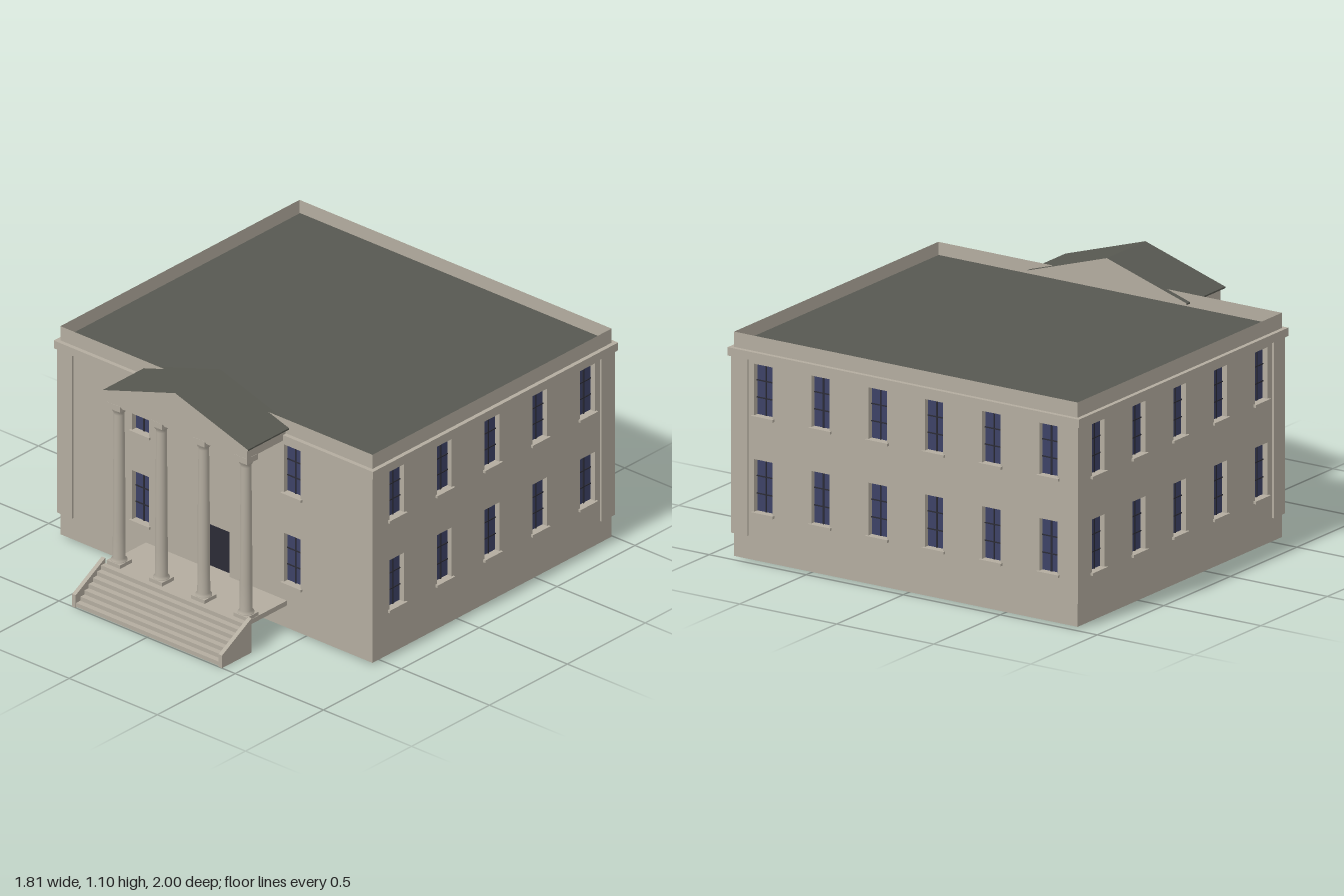
import * as THREE from 'three';

const mat = (name, color, side = THREE.FrontSide) => {
  const m = new THREE.MeshStandardMaterial({ color, side });
  m.name = name;
  return m;
};

export function createModel() {
  const model = new THREE.Group();
  model.name = 'courthouse';
  const stone = mat('stone', 0xb3ac9f, THREE.DoubleSide);
  const slate = mat('slateRoof', 0x575851, THREE.DoubleSide);
  const glass = mat('windowGlass', 0x3d4266, THREE.DoubleSide);
  const dark = mat('darkFrame', 0x2b2b36, THREE.DoubleSide);

  const add = (parent, name, geo, material, x = 0, y = 0, z = 0) => {
    const m = new THREE.Mesh(geo, material);
    m.name = name;
    m.position.set(x, y, z);
    parent.add(m);
    return m;
  };
  // Box given by its minimum and maximum corners
  const box = (parent, name, x0, x1, y0, y1, z0, z1, material = stone) =>
    add(parent, name, new THREE.BoxGeometry(x1 - x0, y1 - y0, z1 - z0), material,
      (x0 + x1) / 2, (y0 + y1) / 2, (z0 + z1) / 2);
  const rectPath = (P, x0, x1, y0, y1) => {
    const p = new P();
    p.moveTo(x0, y0).lineTo(x1, y0).lineTo(x1, y1).lineTo(x0, y1).closePath();
    return p;
  };
  const poly = pts => new THREE.Shape(pts.map(p => new THREE.Vector2(...p)));

  const X = 0.885, ZB = -0.98, ZF = 0.555, ZC = (ZB + ZF) / 2, HZ = (ZF - ZB) / 2;
  const DEPTH = 0.025;

  // Four thin sides of a recess behind the wall face
  function reveal(parent, name, x0, x1, y0, y1) {
    const w = x1 - x0, h = y1 - y0, cx = (x0 + x1) / 2, cy = (y0 + y1) / 2;
    for (const s of [-1, 1]) {
      add(parent, name, new THREE.PlaneGeometry(DEPTH, h), stone, cx + s * w / 2, cy, -DEPTH / 2).rotation.y = -s * Math.PI / 2;
      add(parent, name, new THREE.PlaneGeometry(w, DEPTH), stone, cx, cy + s * h / 2, -DEPTH / 2).rotation.x = s * Math.PI / 2;
    }
  }

  function windowUnit(parent, cx, y0, y1) {
    const g = new THREE.Group();
    g.name = 'window';
    parent.add(g);
    const w = 0.0475, h = y1 - y0;
    reveal(g, 'windowReveal', cx - w, cx + w, y0, y1);
    add(g, 'windowPane', new THREE.PlaneGeometry(2 * w, h), glass, cx, (y0 + y1) / 2, -DEPTH);
    box(g, 'mullion', cx - 0.003, cx + 0.003, y0, y1, -DEPTH + 0.001, -DEPTH + 0.005, dark);
    for (const t of [1 / 3, 2 / 3])
      box(g, 'glazingBar', cx - w, cx + w, y0 + h * t - 0.0025, y0 + h * t + 0.0025, -DEPTH + 0.001, -DEPTH + 0.005, dark);
    box(g, 'windowSill', cx - 0.057, cx + 0.057, y0 - 0.012, y0, -0.005, 0.012);
  }

  // One side of the shell, seen along its own +z
  function wall(name, half, columns, vents, door) {
    const g = new THREE.Group();
    g.name = name;
    model.add(g);
    const shape = rectPath(THREE.Shape, -half, half, 0.01, 1.01);
    for (const cx of columns)
      for (const [y0, y1] of [[0.225, 0.46], [0.655, 0.885]]) {
        shape.holes.push(rectPath(THREE.Path, cx - 0.0475, cx + 0.0475, y0, y1));
        windowUnit(g, cx, y0, y1);
      }
    if (door) {
      shape.holes.push(rectPath(THREE.Path, -0.075, 0.075, 0.14, 0.355));
      reveal(g, 'doorReveal', -0.075, 0.075, 0.14, 0.355);
      add(g, 'door', new THREE.PlaneGeometry(0.15, 0.215), dark, 0, 0.2475, -DEPTH);
    }
    add(g, 'wallFace', new THREE.ShapeGeometry(shape), stone);
    // Small cellar recesses on the inner side
    for (const cx of vents) {
      reveal(g, 'cellarRecess', cx - 0.045, cx + 0.045, 0.03, 0.08);
      add(g, 'cellarPane', new THREE.PlaneGeometry(0.09, 0.05), dark, cx, 0.055, -0.012);
    }
    return g;
  }

  const six = [-0.735, -0.44, -0.145, 0.145, 0.44, 0.735];
  const five = [-0.612, -0.306, 0, 0.306, 0.612];
  wall('frontWall', X, [-0.43, 0.43], six, true).position.z = ZF;
  const back = wall('backWall', X, six, six);
  back.position.z = ZB;
  back.rotation.y = Math.PI;
  for (const s of [-1, 1]) {
    const side = wall(s > 0 ? 'leftWall' : 'rightWall', HZ, five, five);
    side.position.set(s * X, 0, ZC);
    side.rotation.y = s * Math.PI / 2;
  }

  // Main roof, sunk behind the parapet
  add(model, 'mainRoof', new THREE.PlaneGeometry(1.72, 1.475), slate, 0, 0.965, ZC - 0.005).rotation.x = -Math.PI / 2;

  // Cornice band around the shell
  const ring = rectPath(THREE.Shape, -X - 0.02, X + 0.02, -HZ - 0.02, HZ + 0.02);
  ring.holes.push(rectPath(THREE.Path, -X, X, -HZ, HZ));
  add(model, 'cornice', new THREE.ExtrudeGeometry(ring, { depth: 0.037, bevelEnabled: false }),
    stone, 0, 0.905, ZC).rotation.x = -Math.PI / 2;

  // L-shaped corner pilasters
  const t = 0.01, leg = 0.075;
  for (const sx of [-1, 1])
    for (const sz of [-1, 1]) {
      const pts = [[t, t], [-leg, t], [-leg, 0], [0, 0], [0, -leg], [t, -leg]]
        .map(([a, b]) => [a * sx, -b * sz]);
      add(model, 'cornerPilaster', new THREE.ExtrudeGeometry(poly(pts), { depth: 0.79, bevelEnabled: false }),
        stone, sx * X, 0.115, sz > 0 ? ZF : ZB).rotation.x = -Math.PI / 2;
    }

  // Portico
  const portico = new THREE.Group();
  portico.name = 'portico';
  model.add(portico);
  box(portico, 'porchFloor', -0.4, 0.4, 0.117, 0.14, ZF, 0.812);

  // Columns with square plinths and capitals
  const profile = [[0.036, 0.155], [0.036, 0.163], [0.028, 0.172], [0.027, 0.3], [0.026, 0.55],
    [0.023, 0.86], [0.023, 0.872], [0.029, 0.876], [0.033, 0.892]].map(p => new THREE.Vector2(...p));
  for (const x of [-0.36, -0.12, 0.12, 0.36]) {
    const c = new THREE.Group();
    c.name = 'column';
    c.position.set(x, 0, 0.772);
    portico.add(c);
    box(c, 'columnPlinth', -0.038, 0.038, 0.14, 0.157, -0.038, 0.038);
    add(c, 'columnShaft', new THREE.LatheGeometry(profile, 16), stone);
    box(c, 'columnCapital', -0.036, 0.036, 0.89, 0.918, -0.036, 0.036);
  }

  // Entablature with gable
  const gable = poly([[-0.395, 0.915], [0.395, 0.915], [0.395, 0.97], [0, 1.094], [-0.395, 0.97]]);
  add(portico, 'entablature', new THREE.ExtrudeGeometry(gable, { depth: 0.25, bevelEnabled: false }), stone, 0, 0, 0.557);
  for (const x of [-0.24, 0, 0.24])
    box(portico, 'architrave', x - 0.082, x + 0.082, 0.905, 0.916, 0.745, 0.8);

  // Gable roof slopes, with stone edges at the front and rear
  const slopes = poly([[-0.412, 0.966], [0, 1.095], [0.412, 0.966], [0.412, 0.973], [0, 1.102], [-0.412, 0.973]]);
  add(portico, 'porticoRoof', new THREE.ExtrudeGeometry(slopes, { depth: 0.29, bevelEnabled: false }),
    [stone, slate], 0, 0, 0.53);

  // Stairs as a folded ribbon
  const stairs = new THREE.Group();
  stairs.name = 'stairs';
  model.add(stairs);
  const N = 7, run = 0.187 / N, rise = 0.137 / N;
  for (let i = 0; i < N; i++) {
    const z = 0.997 - i * run, y = 0.003 + i * rise;
    add(stairs, 'riser', new THREE.PlaneGeometry(0.81, rise), stone, 0, y + rise / 2, z);
    add(stairs, 'tread', new THREE.PlaneGeometry(0.81, run), stone, 0, y + rise, z - run / 2).rotation.x = -Math.PI / 2;
  }

  // Sloped cheek walls beside the stairs
  const cheek = poly([[-1, 0], [-0.81, 0], [-0.81, 0.165], [-1, 0.06]]);
  for (const x of [-0.425, 0.405])
    add(stairs, 'cheekWall', new THREE.ExtrudeGeometry(cheek, { depth: 0.02, bevelEnabled: false }),
      stone, x, 0, 0).rotation.y = Math.PI / 2;

  return model;
}
